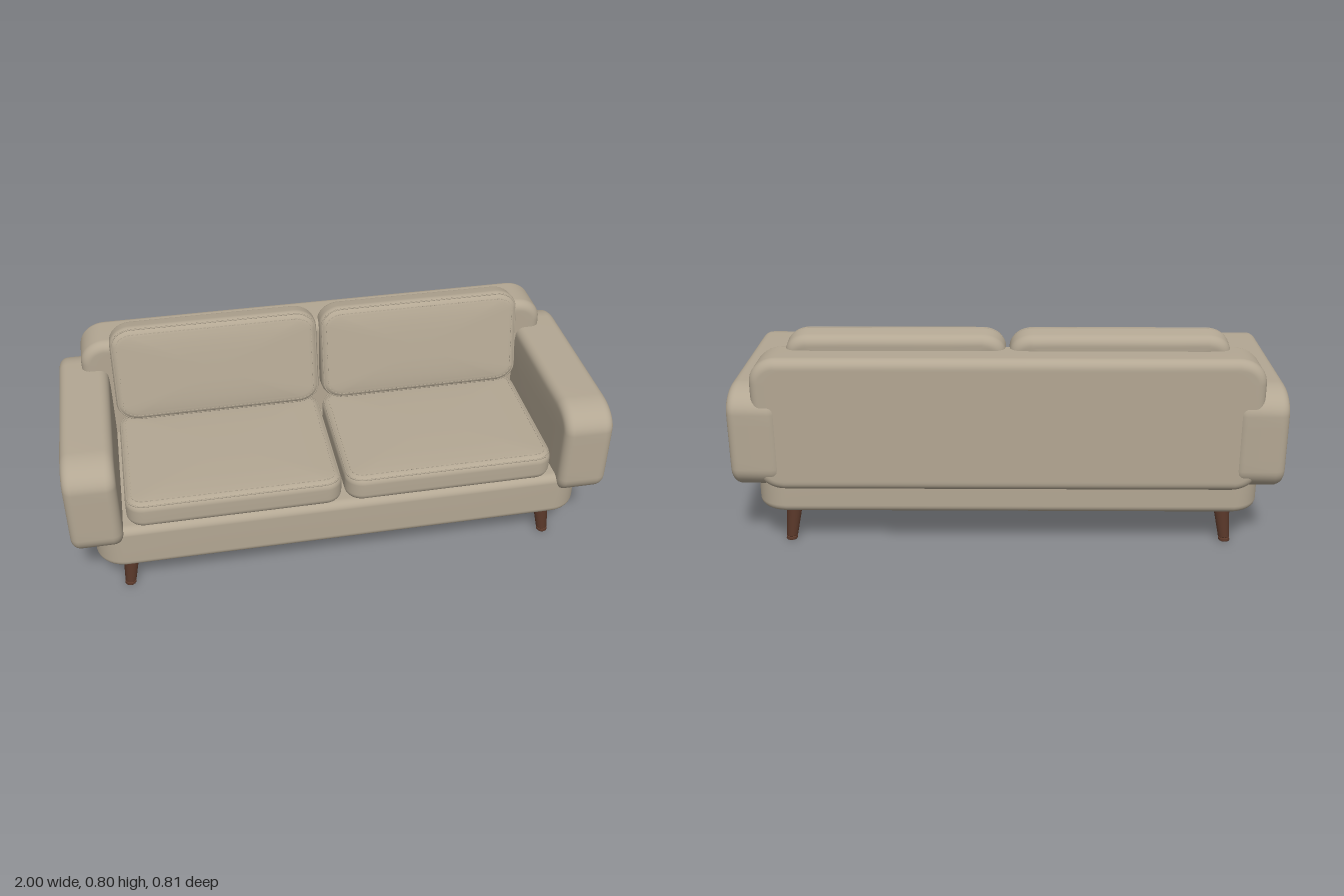
import * as THREE from 'three';
import { mergeGeometries } from 'three/addons/utils/BufferGeometryUtils.js';

// Closed rounded-rectangle outline, counter-clockwise, with elliptical corners
function outline(hw, hh, rx, ry) {
  const pts = [], steps = 10, straight = 5;
  const corners = [[1, 1], [-1, 1], [-1, -1], [1, -1]];
  const corner = (k, t) => {
    const [sx, sy] = corners[k % 4], a = (k + t) * Math.PI / 2;
    return new THREE.Vector2(sx * (hw - rx) + rx * Math.cos(a), sy * (hh - ry) + ry * Math.sin(a));
  };
  for (let k = 0; k < 4; k++) {
    for (let i = 0; i <= steps; i++) pts.push(corner(k, i / steps));
    for (let i = 1; i < straight; i++) pts.push(corner(k, 1).lerp(corner(k + 1, 0), i / straight));
  }
  return pts;
}

// Upholstered block: rounded outline in XY, depth along z, rolled edges, domed faces
function padGeometry({ w, h, d, rx, ry = rx, bevel, crown = 0 }) {
  const rings = [], shrink = [0, 0.25, 0.5, 0.75, 0.9, 0.97], n = 7;
  const face = side => shrink.map(s => ({
    inset: bevel, scale: s, z: side * (d / 2 + crown * (1 - s ** 4)) }));
  const roll = side => Array.from({ length: n + 1 }, (_, i) => {
    const a = i / n * Math.PI / 2;
    return { inset: bevel * (1 - Math.sin(a)), scale: 1, z: side * (d / 2 - bevel + bevel * Math.cos(a)) };
  });
  rings.push(...face(1), ...roll(1), ...roll(-1).reverse(), ...face(-1).reverse());
  const pos = [], index = [];
  let count = 0;
  for (const r of rings) {
    const loop = outline(w / 2 - r.inset, h / 2 - r.inset, rx - r.inset, ry - r.inset);
    count = loop.length;
    for (const p of loop) pos.push(p.x * r.scale, p.y * r.scale, r.z);
  }
  for (let i = 0; i < rings.length - 1; i++) {
    for (let j = 0; j < count; j++) {
      const k = (j + 1) % count;
      const a = i * count + j, b = i * count + k, c = a + count, e = b + count;
      index.push(a, c, b, b, c, e);
    }
  }
  const g = new THREE.BufferGeometry();
  g.setAttribute('position', new THREE.Float32BufferAttribute(pos, 3));
  g.setIndex(index);
  g.computeVertexNormals();
  return g;
}

// Closed path lying on the rolled front edge of a pad, at a given inset
function edgePath({ w, h, d, rx, ry = rx, bevel }, inset) {
  const z = d / 2 - bevel + Math.sqrt(bevel ** 2 - (bevel - inset) ** 2);
  const pts = outline(w / 2 - inset, h / 2 - inset, rx - inset, ry - inset);
  return new THREE.CatmullRomCurve3(pts.map(p => new THREE.Vector3(p.x, p.y, z)), true);
}

export function createModel() {
  const fabric = new THREE.MeshStandardMaterial({ color: 0xb3a793 });
  fabric.name = 'beige fabric';
  const wood = new THREE.MeshStandardMaterial({ color: 0x5e3b2c });
  wood.name = 'dark wood';

  const sofa = new THREE.Group();
  sofa.name = 'sofa';
  const add = (parent, name, geometry, material, x = 0, y = 0, z = 0) => {
    const mesh = new THREE.Mesh(geometry, material);
    mesh.name = name;
    mesh.position.set(x, y, z);
    parent.add(mesh);
    return mesh;
  };

  // Cushion with piping and a row of stitches around its face
  const cushion = (name, size, x, y, z, tilt) => {
    const group = new THREE.Group();
    group.name = name;
    add(group, 'cushionBody', padGeometry(size), fabric);
    add(group, 'piping', new THREE.TubeGeometry(edgePath(size, 0.008), 160, 0.003, 6, true), fabric);
    const path = edgePath(size, 0.025), count = 130, dashes = [];
    for (let i = 0; i < count; i++) {
      const p = path.getPointAt(i / count), t = path.getTangentAt(i / count);
      dashes.push(new THREE.BoxGeometry(0.01, 0.003, 0.005)
        .rotateZ(Math.atan2(t.y, t.x)).translate(p.x, p.y, p.z));
    }
    add(group, 'stitches', mergeGeometries(dashes), fabric);
    group.position.set(x, y, z);
    group.rotation.x = tilt;
    sofa.add(group);
  };

  // Base and backrest
  const base = padGeometry({ w: 1.84, h: 0.755, d: 0.18, rx: 0.11, bevel: 0.03 });
  add(sofa, 'base', base.rotateX(-Math.PI / 2), fabric, 0, 0.235, -0.002);
  const back = padGeometry({ w: 1.815, h: 0.5, d: 0.188, rx: 0.1, ry: 0.09, bevel: 0.035 });
  add(sofa, 'backrest', back, fabric, 0, 0.49, -0.305);

  for (const side of [1, -1]) {
    const label = side > 0 ? 'left' : 'right';
    // Armrest
    const arm = padGeometry({ w: 0.81, h: 0.39, d: 0.186, rx: 0.13, ry: 0.09, bevel: 0.035, crown: 0.003 });
    add(sofa, label + 'Armrest', arm.rotateY(Math.PI / 2), fabric, side * 0.904, 0.43, 0);

    // Seat and back cushions
    cushion(label + 'SeatCushion',
      { w: 0.788, h: 0.57, d: 0.108, rx: 0.065, bevel: 0.032, crown: 0.006 },
      side * 0.4, 0.371, 0.084, -Math.PI / 2);
    cushion(label + 'BackCushion',
      { w: 0.788, h: 0.38, d: 0.112, rx: 0.085, ry: 0.07, bevel: 0.036, crown: 0.007 },
      side * 0.4, 0.612, -0.207, -0.2);

    // Splayed tapered legs with a small foot cap
    for (const end of [1, -1]) {
      const shape = [[0, 0], [0.02, 0], [0.021, 0.002], [0.021, 0.011], [0.019, 0.012],
        [0.019, 0.014], [0.021, 0.016], [0.032, 0.16], [0, 0.16]];
      // Each profile segment is lathed on its own to keep its edges sharp
      const parts = shape.slice(1).map((p, i) =>
        new THREE.LatheGeometry([new THREE.Vector2(...shape[i]), new THREE.Vector2(...p)], 24));
      const leg = mergeGeometries(parts);
      const pos = leg.attributes.position;
      for (let i = 0; i < pos.count; i++) {
        const lean = pos.getY(i) / 0.16;
        pos.setX(i, pos.getX(i) - side * 0.02 * lean);
        pos.setZ(i, pos.getZ(i) - end * 0.014 * lean);
      }
      add(sofa, label + (end > 0 ? 'Front' : 'Back') + 'Leg', leg, wood,
        side * 0.813, 0, end > 0 ? 0.3 : -0.298);
    }
  }
  return sofa;
}
